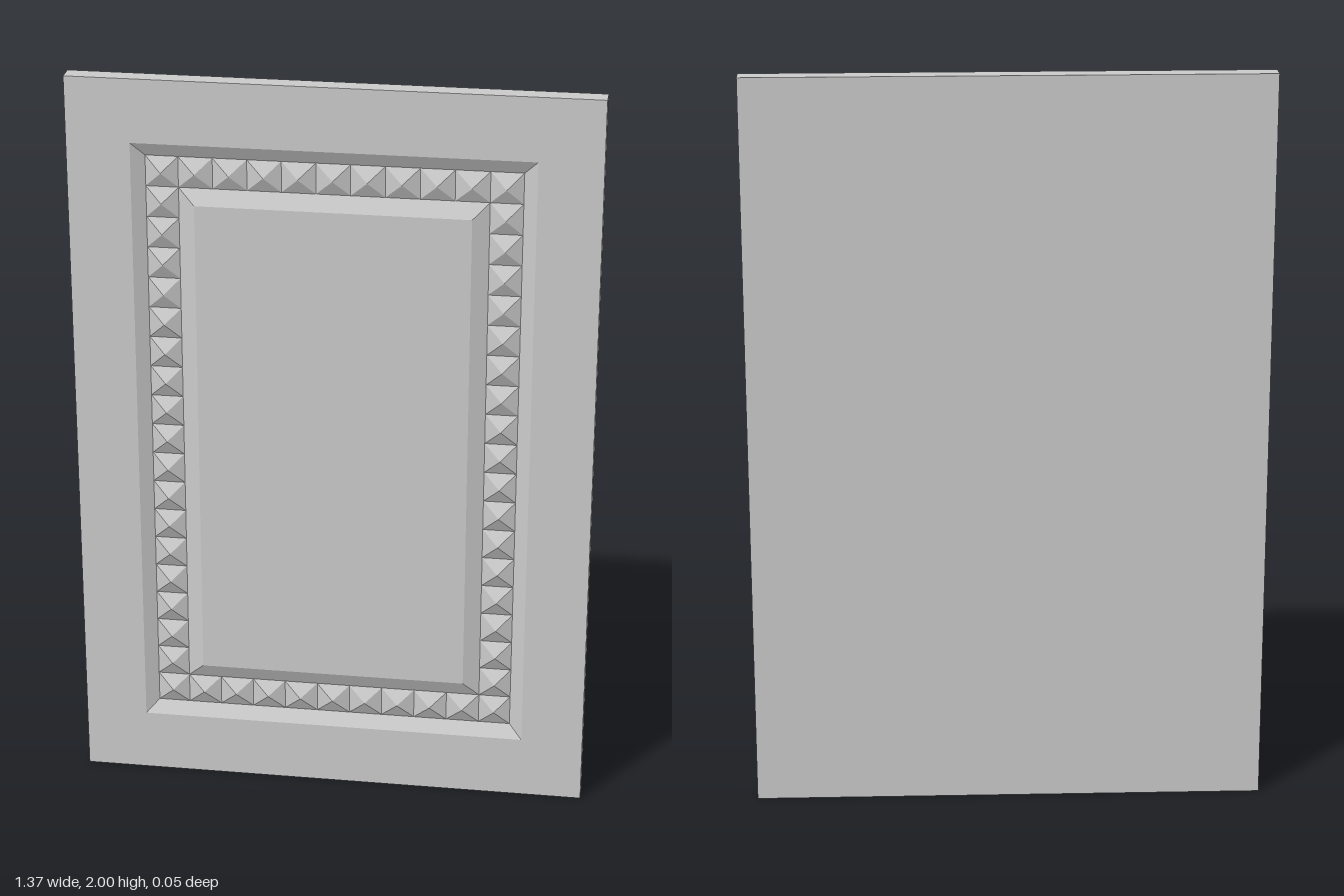
import * as THREE from 'three';

const FRONT = 0.025, BACK = -0.025, FLOOR = 0.005; // depths of the faces and the groove floor

// Concentric rectangles joined from the back edge to the raised field: [half width, half height, z]
const RINGS = [
  [0.686, 1, BACK],
  [0.686, 1, FRONT],
  [0.52, 0.83, FRONT],
  [0.485, 0.793, FLOOR],
  [0.4, 0.71, FLOOR],
  [0.357, 0.668, FRONT],
];

function panelGeometry() {
  const pos = [];
  const corners = ([w, h, z]) => [[-w, -h, z], [w, -h, z], [w, h, z], [-w, h, z]];
  const quad = (a, b, c, d) => pos.push(...a, ...b, ...c, ...a, ...c, ...d);
  for (let r = 0; r < RINGS.length - 1; r++) {
    const o = corners(RINGS[r]), i = corners(RINGS[r + 1]);
    for (let k = 0; k < 4; k++) {
      const n = (k + 1) % 4;
      quad(o[k], o[n], i[n], i[k]);
    }
  }
  quad(...corners(RINGS[RINGS.length - 1])); // raised centre field
  quad(...corners(RINGS[0]).reverse()); // flat back
  const geo = new THREE.BufferGeometry();
  geo.setAttribute('position', new THREE.Float32BufferAttribute(pos, 3));
  geo.computeVertexNormals();
  return geo;
}

export function createModel() {
  const model = new THREE.Group();
  model.name = 'panelDoor';
  const material = new THREE.MeshStandardMaterial({ color: 0xcccccc, flatShading: true });

  // Slab with a bevelled groove around a raised field
  const panel = new THREE.Mesh(panelGeometry(), material);
  panel.name = 'doorPanel';
  panel.position.y = 1;
  model.add(panel);

  // Pyramid studs filling the groove; unit square base facing +z
  const pyramid = new THREE.ConeGeometry(Math.SQRT1_2, 1, 4, 1, true)
    .rotateY(Math.PI / 4).rotateX(Math.PI / 2).translate(0, 0, 0.5);
  const studs = new THREE.Group();
  studs.name = 'pyramidStuds';
  studs.position.set(0, 1, FLOOR);
  model.add(studs);
  const addStud = (name, x, y, w, h) => {
    const stud = new THREE.Mesh(pyramid, material);
    stud.name = name;
    stud.position.set(x, y, 0);
    stud.scale.set(w, h, 0.02);
    studs.add(stud);
  };

  const [outW, outH] = RINGS[3], [inW, inH] = RINGS[4];
  const bandW = outW - inW, bandH = outH - inH;
  const midX = (outW + inW) / 2, midY = (outH + inH) / 2;
  const across = 9, along = 17;
  const stepX = 2 * inW / across, stepY = 2 * inH / along;
  for (const s of [-1, 1]) {
    // Top and bottom rows
    for (let i = 0; i < across; i++) addStud('rowStud', -inW + (i + 0.5) * stepX, s * midY, stepX, bandH);
    // Left and right columns
    for (let i = 0; i < along; i++) addStud('columnStud', s * midX, -inH + (i + 0.5) * stepY, bandW, stepY);
    // Corners
    for (const t of [-1, 1]) addStud('cornerStud', s * midX, t * midY, bandW, bandH);
  }
  return model;
}
